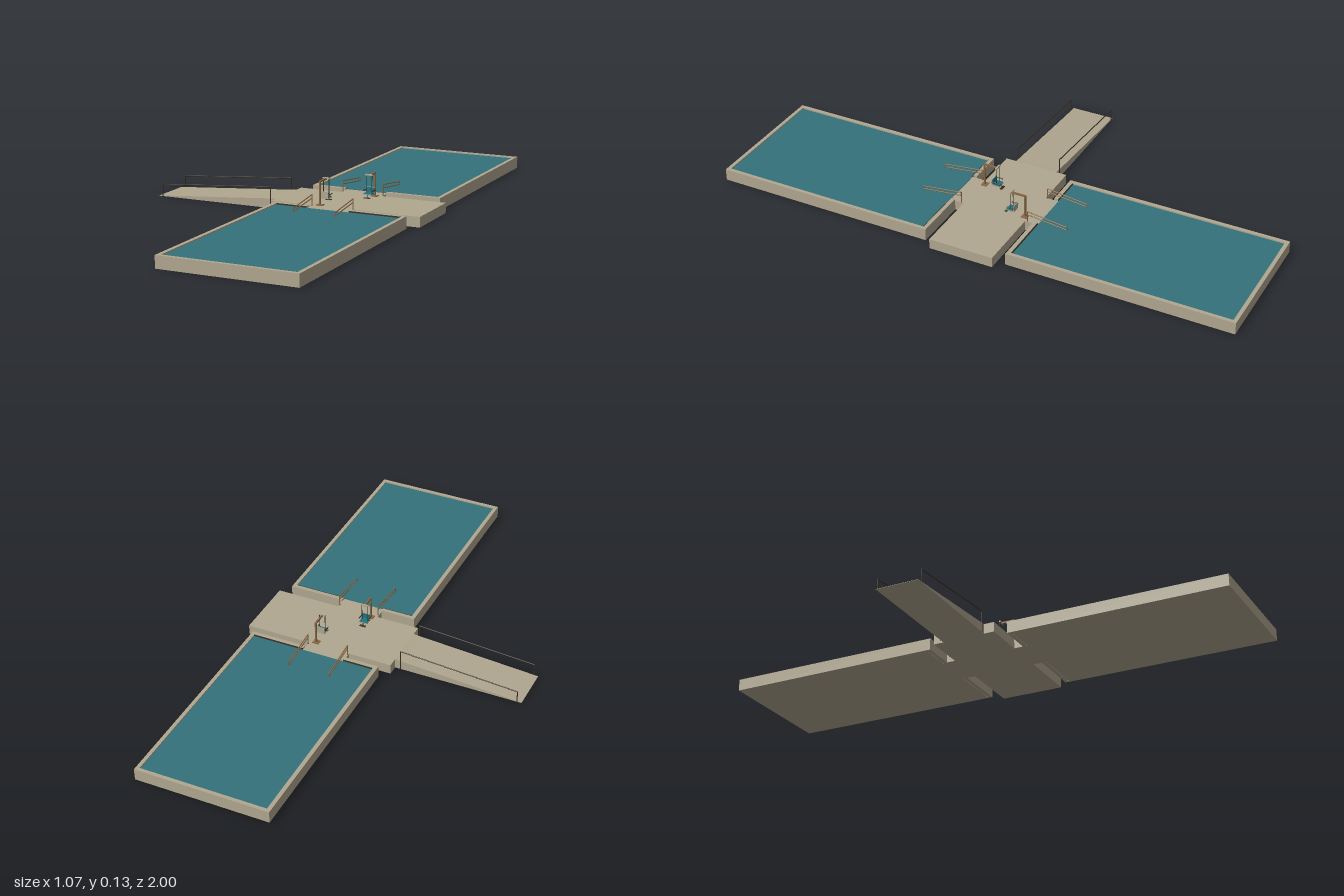
import * as THREE from 'three';

const material = (name, color) => {
  const m = new THREE.MeshStandardMaterial({ color });
  m.name = name;
  return m;
};

export function createModel() {
  const model = new THREE.Group();
  model.name = 'twinPoolDeck';
  const concrete = material('concrete', 0xb0a78f);
  const water = material('water', 0x34717a);
  const darkMetal = material('dark metal', 0x3a3024);
  const bronze = material('bronze', 0x8a6844);
  const cushion = material('seat teal', 0x1f7480);

  // Box given by its lower and upper corners
  function box(parent, name, mat, x0, x1, y0, y1, z0, z1) {
    const geo = new THREE.BoxGeometry(x1 - x0, y1 - y0, Math.abs(z1 - z0));
    const mesh = new THREE.Mesh(geo, mat);
    mesh.position.set((x0 + x1) / 2, (y0 + y1) / 2, (z0 + z1) / 2);
    mesh.name = name;
    parent.add(mesh);
  }

  // Round bar between two points
  function bar(parent, name, mat, a, b, r = 0.002) {
    const p = new THREE.Vector3(...a), q = new THREE.Vector3(...b);
    const dir = q.clone().sub(p);
    const mesh = new THREE.Mesh(new THREE.CylinderGeometry(r, r, dir.length(), 8), mat);
    mesh.position.copy(p).add(q).multiplyScalar(0.5);
    mesh.quaternion.setFromUnitVectors(new THREE.Vector3(0, 1, 0), dir.normalize());
    mesh.name = name;
    parent.add(mesh);
  }

  // Central deck
  box(model, 'deck', concrete, -0.043, 0.535, 0, 0.038, -0.124, 0.122);

  // Sloping ramp
  const slope = new THREE.Shape();
  slope.moveTo(-0.535, 0);
  slope.lineTo(-0.043, 0);
  slope.lineTo(-0.043, 0.038);
  slope.lineTo(-0.065, 0.036);
  slope.lineTo(-0.535, 0.001);
  const ramp = new THREE.Mesh(
    new THREE.ExtrudeGeometry(slope, { depth: 0.166, bevelEnabled: false }), concrete);
  ramp.position.z = -0.084;
  ramp.name = 'ramp';
  model.add(ramp);

  for (const s of [-1, 1]) {
    // Ramp railing
    const railing = new THREE.Group();
    railing.name = 'rampRailing';
    const z = s * 0.085;
    bar(railing, 'lowPost', darkMetal, [-0.518, 0, z], [-0.518, 0.046, z]);
    bar(railing, 'highPost', darkMetal, [-0.065, 0, z], [-0.065, 0.08, z]);
    bar(railing, 'handrail', darkMetal, [-0.518, 0.046, z], [-0.065, 0.08, z]);
    model.add(railing);

    // Pool basin with an opening towards the deck
    const pool = new THREE.Group();
    pool.name = 'pool';
    box(pool, 'basin', concrete, 0.005, 0.486, 0, 0.036, s * 0.175, s * 0.986);
    box(pool, 'waterSurface', water, 0.005, 0.486, 0.036, 0.04, s * 0.175, s * 0.986);
    box(pool, 'sideRim', concrete, -0.01, 0.005, 0, 0.045, s * 0.157, s);
    box(pool, 'sideRim', concrete, 0.486, 0.5, 0, 0.045, s * 0.157, s);
    box(pool, 'farRim', concrete, 0.005, 0.486, 0, 0.045, s * 0.986, s);
    box(pool, 'nearRim', concrete, 0.005, 0.123, 0, 0.045, s * 0.157, s * 0.172);
    box(pool, 'nearRim', concrete, 0.287, 0.486, 0, 0.045, s * 0.157, s * 0.172);
    box(pool, 'rimEdge', darkMetal, 0.005, 0.123, 0.036, 0.0445, s * 0.172, s * 0.175);
    box(pool, 'rimEdge', darkMetal, 0.287, 0.486, 0.036, 0.0445, s * 0.172, s * 0.175);
    box(pool, 'entryBridge', concrete, 0.123, 0.287, 0, 0.038, s * 0.122, s * 0.175);
    model.add(pool);

    // Pair of handrails reaching out over the water
    for (const x of [0.125, 0.285]) {
      const rail = new THREE.Group();
      rail.name = 'poolHandrail';
      bar(rail, 'post', bronze, [x, 0.036, s * 0.132], [x, 0.08, s * 0.132]);
      bar(rail, 'upperBar', bronze, [x, 0.08, s * 0.132], [x, 0.061, s * 0.286]);
      bar(rail, 'lowerBar', bronze, [x, 0.067, s * 0.132], [x, 0.05, s * 0.286]);
      bar(rail, 'endBar', bronze, [x, 0.061, s * 0.286], [x, 0.05, s * 0.286]);
      model.add(rail);
    }
  }

  // Pool lift: mast at +z, hanging chair facing -z
  function lift(x, turn) {
    const g = new THREE.Group();
    g.name = 'poolLift';
    box(g, 'basePlate', bronze, -0.012, 0.012, 0.038, 0.041, 0.1, 0.122);
    bar(g, 'mast', bronze, [0, 0.038, 0.112], [0, 0.126, 0.112], 0.004);
    box(g, 'boom', bronze, -0.003, 0.003, 0.122, 0.128, 0.058, 0.114);
    box(g, 'hangerBar', concrete, -0.014, 0.014, 0.125, 0.13, 0.055, 0.062);
    for (const sx of [-0.011, 0.011]) {
      bar(g, 'hangerRod', darkMetal, [sx, 0.126, 0.0585], [sx, 0.058, 0.0585], 0.0014);
    }
    // Chair
    box(g, 'seatShell', concrete, -0.016, 0.016, 0.054, 0.058, 0.044, 0.075);
    box(g, 'seatCushion', cushion, -0.015, 0.015, 0.058, 0.061, 0.045, 0.07);
    box(g, 'backShell', concrete, -0.016, 0.016, 0.058, 0.08, 0.073, 0.076);
    box(g, 'backCushion', cushion, -0.015, 0.015, 0.061, 0.079, 0.07, 0.073);
    for (const sx of [-0.018, 0.018]) {
      bar(g, 'armrest', darkMetal, [sx, 0.07, 0.048], [sx, 0.07, 0.075], 0.0018);
    }
    box(g, 'footrest', darkMetal, -0.012, 0.012, 0.044, 0.046, 0.036, 0.045);
    bar(g, 'footrestStem', darkMetal, [0, 0.045, 0.041], [0, 0.056, 0.046], 0.0018);
    g.position.x = x;
    g.rotation.y = turn;
    model.add(g);
  }
  lift(0.146, 0);
  lift(0.262, Math.PI);

  return model;
}
